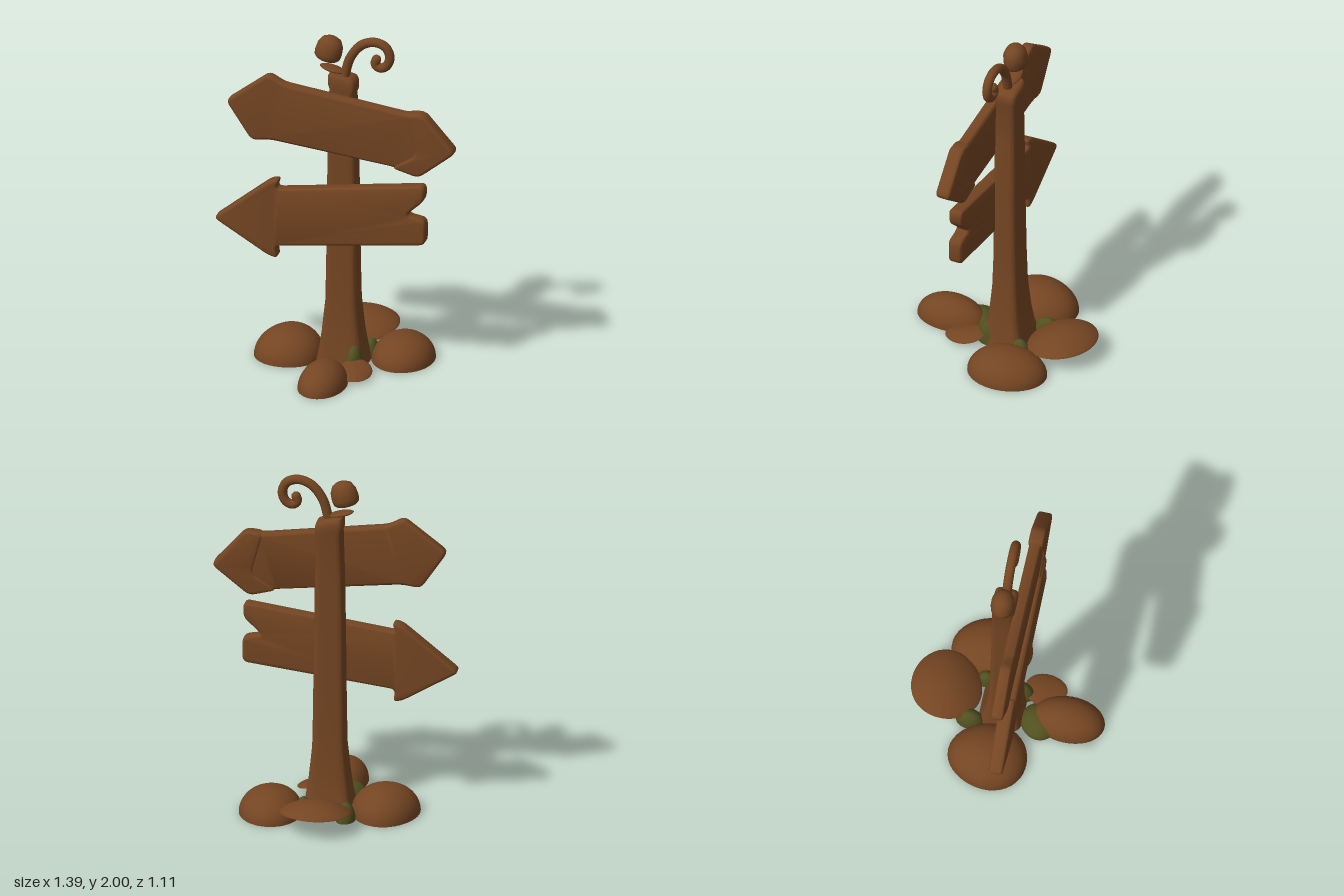
import * as THREE from 'three';
import { toCreasedNormals } from 'three/addons/utils/BufferGeometryUtils.js';

const wood = new THREE.MeshStandardMaterial({ color: 0x744522 });
wood.name = 'brown wood';
const moss = new THREE.MeshStandardMaterial({ color: 0x50501f });
moss.name = 'moss green';

function mesh(name, geometry, material = wood) {
  const m = new THREE.Mesh(geometry, material);
  m.name = name;
  return m;
}

// Post: rounded-square rings lofted upwards, closed at both ends
function postGeometry() {
  // y, half width, half depth, centre z
  const rings = [
    [0, 0.01, 0.01, -0.03], [0, 0.145, 0.125, -0.03], [0.1, 0.126, 0.106, -0.026], [0.2, 0.112, 0.094, -0.024],
    [0.38, 0.094, 0.08, -0.024], [0.6, 0.09, 0.073, -0.024], [1, 0.086, 0.069, -0.022], [1.4, 0.08, 0.066, -0.022],
    [1.66, 0.072, 0.064, -0.022], [1.685, 0.08, 0.067, -0.022], [1.73, 0.08, 0.067, -0.022],
    [1.75, 0.073, 0.06, -0.022], [1.757, 0.055, 0.045, -0.022], [1.757, 0.002, 0.002, -0.022],
  ];
  const n = 40, pos = [], index = [];
  const power = (v) => Math.sign(v) * Math.abs(v) ** 0.38;
  rings.forEach(([y, hx, hz, cz], r) => {
    for (let i = 0; i < n; i++) {
      const a = (i / n) * Math.PI * 2;
      const x = power(Math.cos(a)) * hx;
      const tilt = y > 1.65 ? -0.25 * x : 0;
      pos.push(0.012 + x, y + tilt, cz + power(Math.sin(a)) * hz);
      if (r === 0) continue;
      const j = (i + 1) % n, a0 = (r - 1) * n, b0 = r * n;
      index.push(a0 + i, b0 + i, a0 + j, a0 + j, b0 + i, b0 + j);
    }
  });
  const g = new THREE.BufferGeometry();
  g.setAttribute('position', new THREE.Float32BufferAttribute(pos, 3));
  g.setIndex(index);
  return toCreasedNormals(g, 0.9);
}

// Board: outline with softened corners, extruded with a round bevel
function board(name, points, z0, z1) {
  const v = points.map(([x, y]) => new THREE.Vector2(x, y));
  const shape = new THREE.Shape();
  v.forEach((p, i) => {
    const prev = v[(i + v.length - 1) % v.length], next = v[(i + 1) % v.length];
    const toward = (q) => p.clone().lerp(q, Math.min(0.035 / p.distanceTo(q), 0.42));
    const a = toward(prev), b = toward(next);
    if (i === 0) shape.moveTo(a.x, a.y);
    else shape.lineTo(a.x, a.y);
    shape.quadraticCurveTo(p.x, p.y, b.x, b.y);
  });
  shape.closePath();
  const bevel = 0.018;
  const g = new THREE.ExtrudeGeometry(shape, {
    depth: z1 - z0 - 2 * bevel, bevelThickness: bevel, bevelSize: bevel, bevelOffset: -bevel,
    bevelSegments: 4, curveSegments: 4,
  });
  g.translate(0, 0, z0 + bevel);
  return mesh(name, toCreasedNormals(g, 0.8));
}

// Mound or leaf: a squashed sphere, upper half and lower half in separate colours
function blob(name, { x, z, rx, rz, rot = 0, top, bottom = 0, lift = () => 0, taper = 0, wobble = 0.025, upper = wood, lower = moss }) {
  const group = new THREE.Group();
  group.name = name;
  for (const half of [0, 1]) {
    const g = new THREE.SphereGeometry(1, 40, 14, 0, Math.PI * 2, half * Math.PI / 2, Math.PI / 2);
    const p = g.attributes.position;
    for (let i = 0; i < p.count; i++) {
      const ux = p.getX(i), uy = p.getY(i), uz = p.getZ(i);
      const w = 1 + wobble * Math.sin(3 * Math.atan2(uz, ux) + x * 20);
      p.setXYZ(i, ux * rx * w * (1 + taper * uz), uy * (half ? bottom : top) + lift(ux, uz), uz * rz * w);
    }
    g.computeVertexNormals();
    group.add(mesh(half ? 'underside' : 'upper side', g, half ? lower : upper));
  }
  group.position.set(x, 0, z);
  group.rotation.y = rot;
  return group;
}

export function createModel() {
  const model = new THREE.Group();
  model.name = 'signpost';
  model.add(mesh('post', postGeometry()));

  // Sign boards
  model.add(board('upper board', [
    [-0.645, 1.56], [-0.395, 1.75], [-0.31, 1.7], [0.41, 1.6], [0.505, 1.61], [0.7, 1.395],
    [0.485, 1.225], [0.34, 1.268], [-0.385, 1.35], [-0.495, 1.335],
  ], 0.032, 0.1));
  model.add(board('upper board arrowhead', [
    [0.405, 1.602], [0.51, 1.612], [0.702, 1.395], [0.485, 1.222], [0.325, 1.265], [0.47, 1.36],
  ], 0.024, 0.11));
  model.add(board('lower board', [
    [-0.715, 0.84], [-0.385, 1.105], [-0.33, 1.115], [-0.35, 1.055], [0.52, 1.175], [0.52, 1.085], [0.41, 0.985],
    [0.525, 0.965], [0.525, 0.815], [-0.35, 0.71], [-0.335, 0.635], [-0.39, 0.645],
  ], 0.03, 0.112));

  // Curled vine with a rounded tip
  const path = [
    [0.02, 1.74], [0.055, 1.862], [0.12, 1.945], [0.198, 1.971], [0.262, 1.947], [0.285, 1.89],
    [0.268, 1.838], [0.23, 1.818], [0.2, 1.838], [0.207, 1.868],
  ].map(([x, y]) => new THREE.Vector3(x, y, -0.015));
  model.add(mesh('vine', new THREE.TubeGeometry(new THREE.CatmullRomCurve3(path), 70, 0.027, 14)));
  const tip = mesh('vine tip', new THREE.SphereGeometry(0.027, 16, 12));
  tip.position.copy(path[path.length - 1]);
  model.add(tip);

  // Tilted bud cap and the small leaf below it
  const capProfile = [[0, 0], [0.062, 0], [0.074, 0.012], [0.078, 0.04], [0.074, 0.085], [0.056, 0.12], [0.03, 0.135], [0, 0.14]]
    .map(([x, y]) => new THREE.Vector2(x, y));
  const cap = mesh('bud cap', toCreasedNormals(new THREE.LatheGeometry(capProfile, 28), 0.9));
  cap.position.set(-0.085, 1.842, -0.017);
  cap.rotation.z = -0.27;
  cap.scale.z = 0.87;
  model.add(cap);
  const budLeaf = mesh('bud leaf', new THREE.SphereGeometry(1, 24, 12));
  budLeaf.scale.set(0.075, 0.014, 0.045);
  budLeaf.position.set(-0.05, 1.782, -0.017);
  budLeaf.rotation.z = -0.22;
  model.add(budLeaf);

  // Mounds around the foot
  model.add(blob('right mound', { x: -0.31, z: -0.05, rx: 0.195, rz: 0.225, top: 0.163 }));
  model.add(blob('front mound', { x: -0.002, z: 0.345, rx: 0.135, rz: 0.21, top: 0.14, wobble: 0.01 }));
  model.add(blob('left mound', { x: 0.325, z: -0.155, rx: 0.18, rz: 0.23, rot: 0.12, top: 0.145, taper: -0.08 }));

  // Arched leaves, green beneath
  model.add(blob('back leaf', {
    x: 0.03, z: -0.355, rx: 0.205, rz: 0.2, top: 0.022, bottom: 0.004, taper: -0.12,
    lift: (u, t) => 0.15 - 0.035 * t - 0.065 * t * t - 0.05 * u * u,
  }));
  model.add(blob('front leaf', {
    x: 0.14, z: 0.185, rx: 0.095, rz: 0.12, rot: 0.2, top: 0.018, bottom: 0.004,
    lift: (u, t) => 0.04 - 0.02 * t - 0.012 * u * u,
  }));

  // Moss tufts between the mounds
  const tufts = [
    [-0.04, 0.19, 0.112, 0.11, 0.075], [0.1, 0.06, 0.05, 0.07, 0.14],
    [0.14, -0.15, 0.045, 0.06, 0.1], [-0.11, -0.2, 0.055, 0.08, 0.1],
  ];
  for (const [x, z, rx, rz, top] of tufts) {
    model.add(blob('moss tuft', { x, z, rx, rz, top, upper: moss }));
  }
  return model;
}
